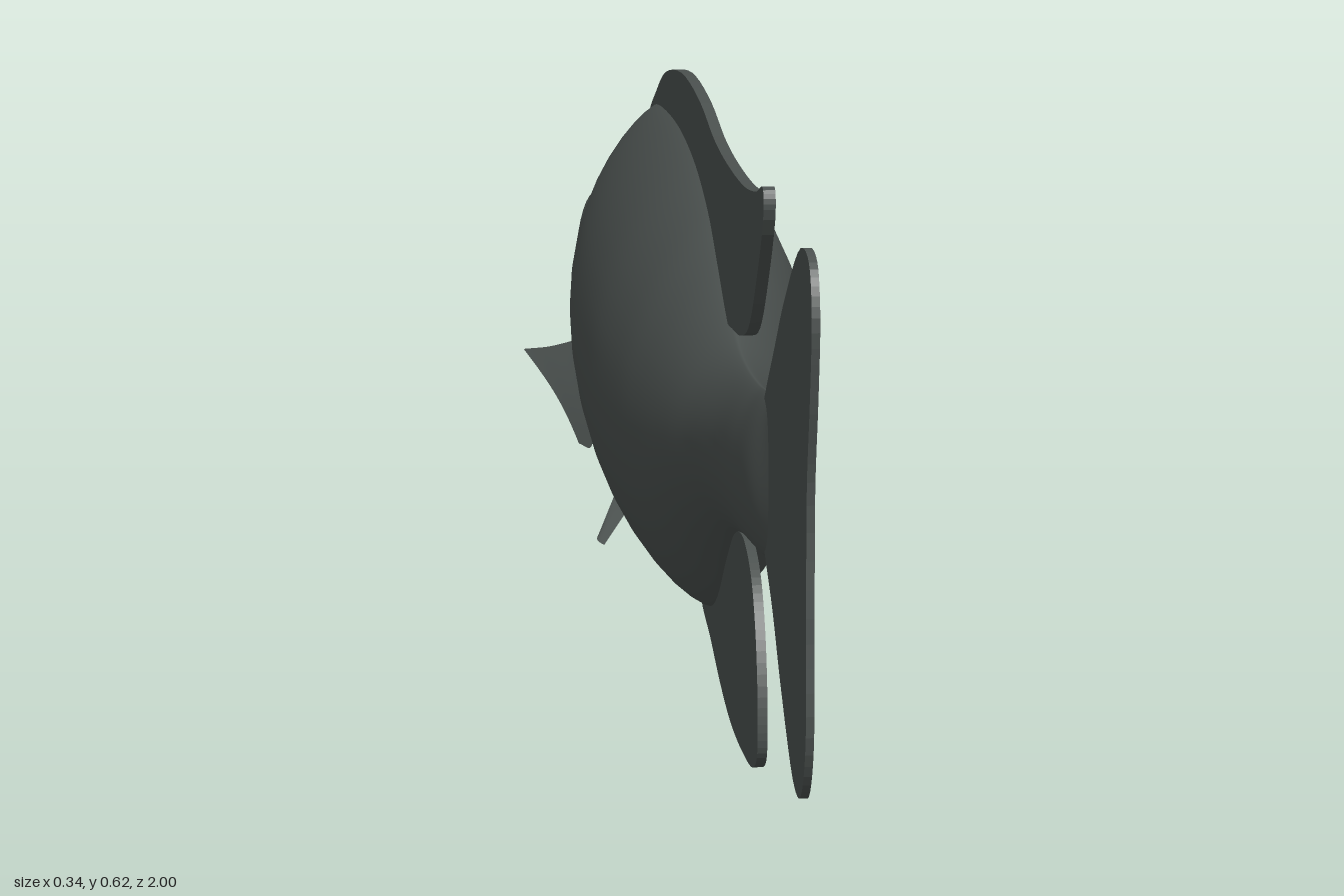
import * as THREE from 'three';

const skin = new THREE.MeshStandardMaterial({ color: 0x4b514f, side: THREE.DoubleSide });
skin.name = 'dark grey skin';

function part(parent, name, geometry) {
  const mesh = new THREE.Mesh(geometry, skin);
  mesh.name = name;
  parent.add(mesh);
  return mesh;
}

// Body sections from snout to tail root: z, top, bottom, half width
const SECTIONS = [
  [-0.975, 0.345, 0.30, 0.008], [-0.96, 0.362, 0.275, 0.026], [-0.93, 0.385, 0.243, 0.037],
  [-0.87, 0.43, 0.212, 0.05], [-0.80, 0.483, 0.188, 0.063], [-0.70, 0.508, 0.158, 0.072],
  [-0.60, 0.535, 0.137, 0.086], [-0.50, 0.556, 0.118, 0.105], [-0.35, 0.564, 0.102, 0.119],
  [-0.20, 0.562, 0.084, 0.125], [-0.05, 0.546, 0.077, 0.123], [0.08, 0.515, 0.083, 0.108],
  [0.17, 0.477, 0.112, 0.091], [0.26, 0.436, 0.17, 0.07], [0.34, 0.41, 0.213, 0.05],
  [0.43, 0.402, 0.23, 0.036], [0.53, 0.404, 0.237, 0.03], [0.60, 0.409, 0.243, 0.022],
  [0.645, 0.40, 0.26, 0.004],
];

function bodyGeometry(rows = 90, sides = 40) {
  const spline = (f) => new THREE.CatmullRomCurve3(SECTIONS.map(f), false, 'catmullrom', 0.5);
  const zCurve = spline((s) => new THREE.Vector3(s[0], 0, 0));
  const sizeCurve = spline((s) => new THREE.Vector3(s[1], s[2], s[3]));
  const pos = [], index = [];
  for (let i = 0; i <= rows; i++) {
    const z = zCurve.getPoint(i / rows).x;
    const { x: top, y: bottom, z: width } = sizeCurve.getPoint(i / rows);
    const mid = bottom + (top - bottom) * 0.5;
    for (let j = 0; j < sides; j++) {
      const a = (j / sides) * Math.PI * 2, s = Math.sin(a), c = Math.cos(a);
      const power = c > 0 ? 1.55 : 1.35; // sharper back, rounder belly
      pos.push(width * Math.sign(s) * Math.abs(s) ** power, mid + c * (top - bottom) / 2, z);
      if (i === rows) continue;
      const p = i * sides + j, q = i * sides + (j + 1) % sides;
      index.push(p, p + sides, q, p + sides, q + sides, q);
    }
  }
  const g = new THREE.BufferGeometry();
  g.setAttribute('position', new THREE.Float32BufferAttribute(pos, 3));
  g.setIndex(index);
  g.computeVertexNormals();
  return g;
}

// Flat fin in the middle plane, outlined by [z, y] points
function finGeometry(points, thickness) {
  const curve = new THREE.CatmullRomCurve3(
    points.map(([z, y]) => new THREE.Vector3(z, y, 0)), true, 'centripetal');
  const shape = new THREE.Shape(curve.getPoints(90).slice(0, -1).map((p) => new THREE.Vector2(p.x, p.y)));
  const g = new THREE.ExtrudeGeometry(shape, { depth: thickness, bevelEnabled: false });
  return g.rotateY(-Math.PI / 2).translate(thickness / 2, 0, 0);
}

// Thin paired fin: ruled surface between an upper and a lower edge
function pairedFin(upper, lower, side, bend, n = 10) {
  const curves = [upper, lower].map((pts) => new THREE.CatmullRomCurve3(
    pts.map(([x, y, z]) => new THREE.Vector3(x * side, y, z))));
  const pos = [], index = [];
  for (let i = 0; i <= n; i++) {
    const [a, b] = curves.map((c) => c.getPoint(i / n));
    for (let j = 0; j <= n; j++) {
      const p = a.clone().lerp(b, j / n);
      p.x += side * bend * Math.sin((j / n) * Math.PI) * (i / n);
      pos.push(p.x, p.y, p.z);
      if (i === n || j === n) continue;
      const k = i * (n + 1) + j;
      const quad = [k, k + n + 1, k + 1, k + 1, k + n + 1, k + n + 2];
      index.push(...(side > 0 ? quad : quad.reverse()));
    }
  }
  const g = new THREE.BufferGeometry();
  g.setAttribute('position', new THREE.Float32BufferAttribute(pos, 3));
  g.setIndex(index);
  g.computeVertexNormals();
  return g;
}

function blob(parent, name, [x, y, z], [rx, ry, rz], yaw = 0, roll = 0) {
  const mesh = part(parent, name, new THREE.SphereGeometry(1, 28, 20));
  mesh.position.set(x, y, z);
  mesh.scale.set(rx, ry, rz);
  mesh.rotation.set(0, yaw, roll);
}

export function createModel() {
  const fish = new THREE.Group();
  fish.name = 'fish';
  part(fish, 'body', bodyGeometry());

  // Middle fins
  part(fish, 'tailFin', finGeometry([
    [0.57, 0.37], [0.615, 0.41], [0.69, 0.465], [0.78, 0.53], [0.915, 0.6], [0.98, 0.593], [1, 0.55],
    [0.988, 0.47], [0.965, 0.38], [0.963, 0.24], [0.958, 0.125], [0.92, 0.075], [0.865, 0.075],
    [0.755, 0.145], [0.68, 0.207], [0.615, 0.247], [0.57, 0.28]], 0.008));
  part(fish, 'dorsalFin', finGeometry([
    [-0.6, 0.525], [-0.5, 0.57], [-0.4, 0.602], [-0.2, 0.626], [0, 0.619], [0.15, 0.598], [0.3, 0.59],
    [0.45, 0.591], [0.55, 0.601], [0.61, 0.612], [0.615, 0.59], [0.55, 0.51], [0.48, 0.453],
    [0.4, 0.432], [0.33, 0.427], [0.26, 0.425], [0.1, 0.45], [-0.1, 0.5], [-0.4, 0.5]], 0.012));
  part(fish, 'analFin', finGeometry([
    [0, 0.079], [0.1, 0.052], [0.2, 0.025], [0.3, 0.007], [0.42, 0.002], [0.52, 0.01], [0.555, 0.03],
    [0.56, 0.08], [0.54, 0.15], [0.5, 0.2], [0.43, 0.226], [0.36, 0.222], [0.25, 0.2], [0.1, 0.13]], 0.01));

  // Lips: two arched tubes around the mouth
  [['upperLip', 0.337, 0.305, -0.982, 0.014], ['lowerLip', 0.303, 0.283, -0.966, 0.013]]
    .forEach(([name, yTip, yCorner, z, r]) => {
      const path = new THREE.CatmullRomCurve3([[-0.034, yCorner, -0.915], [-0.024, yTip - 0.008, z + 0.025],
        [0, yTip, z], [0.024, yTip - 0.008, z + 0.025], [0.034, yCorner, -0.915]]
        .map((p) => new THREE.Vector3(...p)));
      part(fish, name, new THREE.TubeGeometry(path, 24, r, 10));
    });

  for (const side of [1, -1]) {
    const half = new THREE.Group();
    half.name = side > 0 ? 'leftSide' : 'rightSide';
    fish.add(half);

    // Head details
    blob(half, 'eye', [side * 0.045, 0.375, -0.815], [0.02, 0.03, 0.03]);
    blob(half, 'gillCover', [side * 0.053, 0.3, -0.785], [0.024, 0.112, 0.088], side * 0.2);
    blob(half, 'shoulder', [side * 0.066, 0.3, -0.635], [0.023, 0.1, 0.045]);

    // Pectoral and pelvic fins
    part(half, 'pectoralFin', pairedFin(
      [[0.078, 0.262, -0.625], [0.125, 0.268, -0.53], [0.168, 0.286, -0.405]],
      [[0.07, 0.195, -0.615], [0.082, 0.155, -0.5], [0.105, 0.175, -0.405]], side, -0.006));
    part(half, 'pelvicFin', pairedFin(
      [[0.035, 0.135, -0.52], [0.065, 0.122, -0.38], [0.098, 0.102, -0.23]],
      [[0.03, 0.115, -0.5], [0.05, 0.112, -0.36], [0.092, 0.093, -0.22]], side, 0.004));
  }
  return fish;
}
